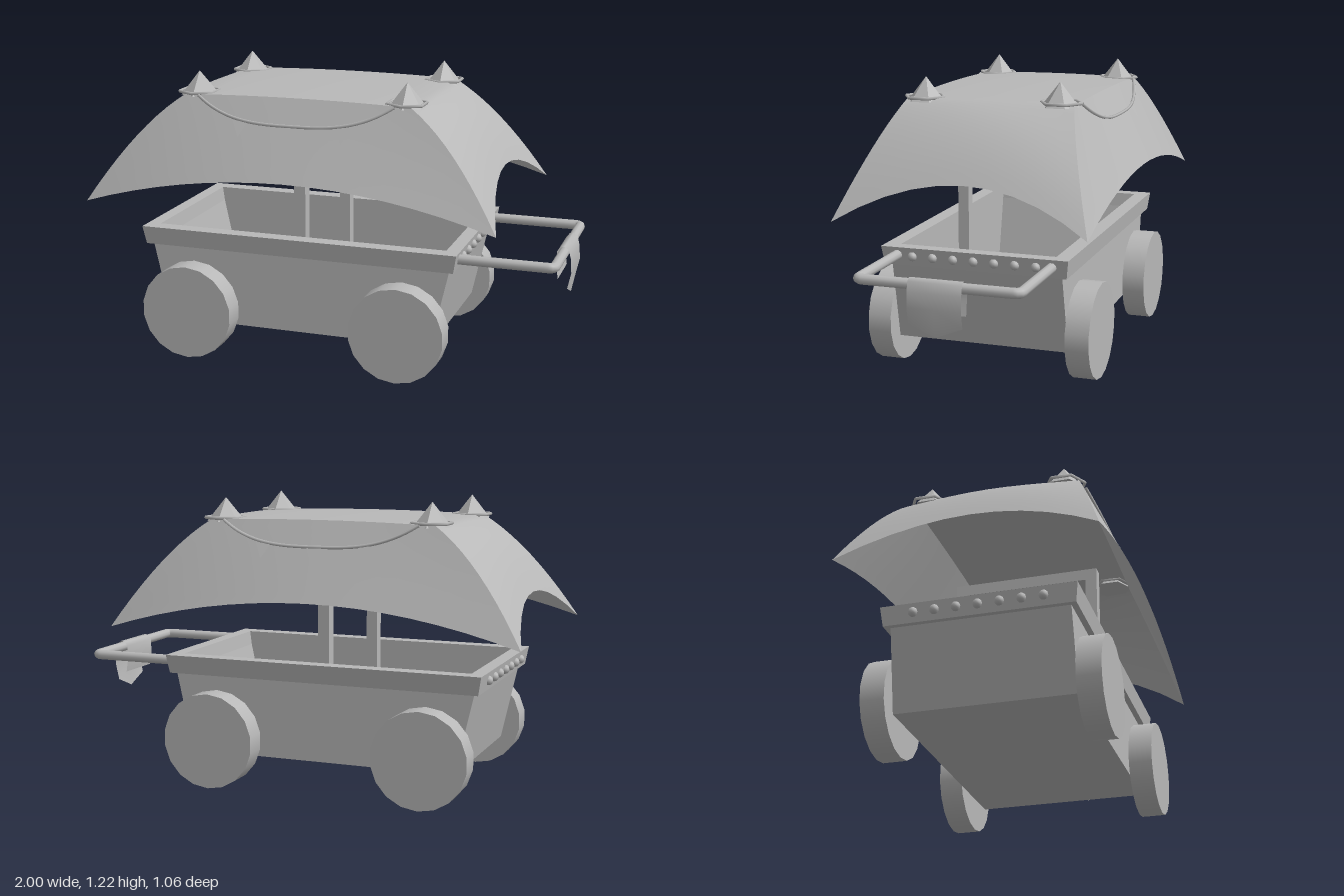
import * as THREE from 'three';

const CX = -0.115; // centre of cart and canopy along x
const gray = new THREE.MeshStandardMaterial({ color: 0xb8b8b8, side: THREE.DoubleSide });
gray.name = 'plain gray';

function add(parent, name, geometry, x = 0, y = 0, z = 0) {
  const mesh = new THREE.Mesh(geometry, gray);
  mesh.name = name;
  mesh.position.set(x, y, z);
  parent.add(mesh);
  return mesh;
}

// Smooth sheet from a function of (i, j) returning [x, y, z]
function sheet(nu, nv, fn) {
  const pos = [], idx = [];
  for (let i = 0; i <= nu; i++) for (let j = 0; j <= nv; j++) pos.push(...fn(i, j));
  for (let i = 0; i < nu; i++) for (let j = 0; j < nv; j++) {
    const a = i * (nv + 1) + j, b = a + nv + 1;
    idx.push(a, a + 1, b, b, a + 1, b + 1);
  }
  const g = new THREE.BufferGeometry();
  g.setAttribute('position', new THREE.Float32BufferAttribute(pos, 3));
  g.setIndex(idx);
  g.computeVertexNormals();
  return g;
}

// Flat-sided loft through rectangles [half x, y, half z]
function rectLoft(sections, caps) {
  const rings = sections.map(([hx, y, hz]) =>
    [[1, 1], [1, -1], [-1, -1], [-1, 1]].map(([sx, sz]) => [CX + sx * hx, y, sz * hz]));
  const pos = [];
  const quad = (a, b, c, d) => pos.push(...a, ...b, ...c, ...a, ...c, ...d);
  for (let r = 0; r < rings.length - 1; r++) for (let k = 0; k < 4; k++) {
    const n = (k + 1) % 4;
    quad(rings[r][k], rings[r][n], rings[r + 1][n], rings[r + 1][k]);
  }
  if (caps) {
    const [a, b, c, d] = rings[0];
    quad(d, c, b, a);
    quad(...rings[rings.length - 1]);
  }
  const g = new THREE.BufferGeometry();
  g.setAttribute('position', new THREE.Float32BufferAttribute(pos, 3));
  g.computeVertexNormals();
  return g;
}

// Canopy shape: a runs along the length, b across the width, t from hem to roof
const lerp = THREE.MathUtils.lerp;
const roof = (a, b) => [CX + 0.49 * a, 1.132 + 0.01 * (1 - a * a) + 0.007 * (1 - b * b), 0.36 * b];
function endPanel(side, b, t) {
  const hem = [CX + side * (0.803 + 0.082 * b * b), 0.845 - 0.165 * b * b, 0.53 * b];
  const top = roof(side, b), k = 4 * t * (1 - t);
  return [lerp(hem[0], top[0], t), lerp(hem[1], top[1], t) + 0.05 * k, lerp(hem[2], top[2], t) - 0.015 * k * b];
}
function sidePanel(side, a, t) {
  const hem = [CX + 0.885 * a, 0.82 - 0.14 * a * a, 0.53 * side];
  const top = roof(a, side), k = 4 * t * (1 - t) * a * a;
  return [lerp(hem[0], top[0], t), lerp(hem[1], top[1], t) + 0.05 * k, lerp(hem[2], top[2], t) - 0.015 * k * side];
}

function buildCanopy() {
  const canopy = new THREE.Group();
  canopy.name = 'canopy';
  const N = 10;
  // Roof and both ends are one continuous cloth
  add(canopy, 'canopyRoof', sheet(3 * N, N, (i, j) => {
    const b = j / N * 2 - 1;
    if (i <= N) return endPanel(-1, b, i / N);
    if (i >= 2 * N) return endPanel(1, b, (3 * N - i) / N);
    return roof((i - N) / N * 2 - 1, b);
  }));
  for (const s of [1, -1]) {
    add(canopy, 'canopySide', sheet(N, 16, (i, j) => sidePanel(s, j / 8 - 1, i / N)));

    // Sagging trim cord lying on the side cloth
    const clothZ = y => s * (0.372 + (1.135 - y) * 0.53);
    const points = [];
    for (let i = 0; i <= 16; i++) {
      const a = i / 8 - 1, y = 1.037 + 0.095 * Math.pow(Math.abs(a), 3);
      points.push(new THREE.Vector3(CX + 0.425 * a, y, clothZ(y)));
    }
    add(canopy, 'trimCord', new THREE.TubeGeometry(new THREE.CatmullRomCurve3(points), 32, 0.007, 5));

    // Small pennants below the cord
    for (const [x, y] of [[-0.22, 1.047], [0, 1.037], [0.225, 1.047]]) {
      const g = new THREE.BufferGeometry();
      const tip = y - 0.062;
      g.setAttribute('position', new THREE.Float32BufferAttribute([
        CX + x - 0.034, y, clothZ(y), CX + x, tip, clothZ(tip), CX + x + 0.034, y, clothZ(y)], 3));
      g.computeVertexNormals();
      add(canopy, 'pennant', g);
    }

    // Corner peaks with cord rings
    for (const x of [-0.455, 0.455]) {
      const cone = new THREE.ConeGeometry(0.08, 0.1, 6).toNonIndexed();
      cone.computeVertexNormals();
      add(canopy, 'cornerPeak', cone, CX + x, 1.172, s * 0.29);
      const ring = new THREE.TorusGeometry(0.084, 0.007, 5, 6).rotateZ(Math.PI / 2).rotateX(Math.PI / 2);
      add(canopy, 'peakCord', ring, CX + x, 1.138, s * 0.295);
    }
  }
  return canopy;
}

function buildCart() {
  const cart = new THREE.Group();
  cart.name = 'cart';
  add(cart, 'cartBody', rectLoft([
    [0.585, 0.135, 0.37], [0.668, 0.5, 0.365], [0.635, 0.5, 0.335], [0.565, 0.17, 0.335]], true));
  add(cart, 'cartRim', rectLoft([
    [0.63, 0.47, 0.335], [0.683, 0.47, 0.39], [0.697, 0.548, 0.4], [0.64, 0.548, 0.335], [0.63, 0.47, 0.335]]));
  // Rivets on both end rims
  for (const s of [1, -1]) for (let i = -3; i <= 3; i++) {
    add(cart, 'rivet', new THREE.SphereGeometry(0.02, 10, 6), CX + s * 0.69, 0.512, i * 0.088);
  }
  // Wheels and axles
  for (const x of [-0.58, 0.35]) {
    add(cart, 'axle', new THREE.CylinderGeometry(0.036, 0.036, 0.8, 12).rotateX(Math.PI / 2), x, 0.205, 0);
    for (const s of [1, -1]) {
      add(cart, 'wheel', new THREE.CylinderGeometry(0.203, 0.203, 0.1, 18).rotateX(Math.PI / 2), x, 0.205, s * 0.428);
    }
  }
  // Canopy posts with a cross bar
  for (const s of [1, -1]) {
    add(cart, 'post', new THREE.BoxGeometry(0.05, 0.81, 0.05), CX, 0.57, s * 0.295);
  }
  add(cart, 'crossBar', new THREE.BoxGeometry(0.05, 0.05, 0.54), CX, 0.95, 0);
  return cart;
}

function buildHandle() {
  const handle = new THREE.Group();
  handle.name = 'handle';
  // U-shaped pull bar with tight corners
  const v = (x, z) => new THREE.Vector3(x, 0.515, z);
  const path = new THREE.CurvePath();
  path.add(new THREE.LineCurve3(v(0.55, 0.33), v(0.94, 0.33)));
  path.add(new THREE.QuadraticBezierCurve3(v(0.94, 0.33), v(0.965, 0.33), v(0.965, 0.305)));
  path.add(new THREE.LineCurve3(v(0.965, 0.305), v(0.965, -0.305)));
  path.add(new THREE.QuadraticBezierCurve3(v(0.965, -0.305), v(0.965, -0.33), v(0.94, -0.33)));
  path.add(new THREE.LineCurve3(v(0.94, -0.33), v(0.55, -0.33)));
  add(handle, 'pullBar', new THREE.TubeGeometry(path, 120, 0.021, 10));

  // Cloth draped over the bar, with pointed flaps
  const drape = [[0.945, 0.4], [0.936, 0.46], [0.938, 0.52], [0.952, 0.538], [0.968, 0.542],
    [0.986, 0.53], [0.996, 0.49], [1.0, 0.43], [0.985, 0.362]];
  add(handle, 'drapedCloth', sheet(drape.length - 1, 2, (i, j) => {
    const [x, y] = drape[i];
    const point = j === 1 && i === drape.length - 1 ? 0.045 : 0;
    return [x, y - point, (j - 1) * 0.11];
  }));
  return handle;
}

export function createModel() {
  const model = new THREE.Group();
  model.name = 'coveredWagon';
  model.add(buildCart(), buildHandle(), buildCanopy());
  return model;
}
